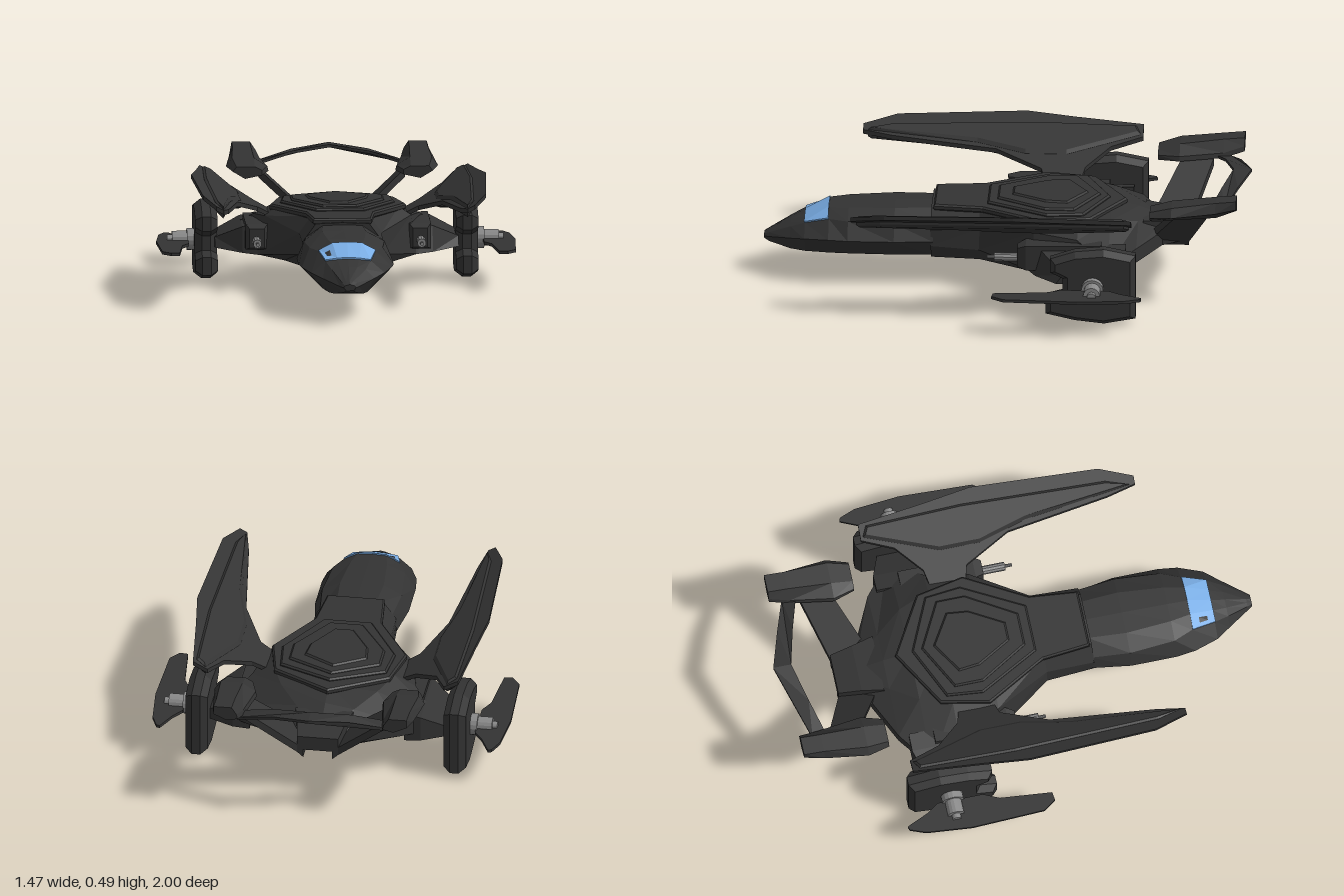
import * as THREE from 'three';

const mat = (color) => new THREE.MeshStandardMaterial({ color, flatShading: true, side: THREE.DoubleSide });
const dark = mat(0x333333), metal = mat(0x888888), glass = mat(0x7aaee6);

export function createModel() {
  const root = new THREE.Group();
  const add = (name, geo, material = dark) => {
    const m = new THREE.Mesh(geo, material);
    m.name = name;
    root.add(m);
    return m;
  };
  const bothSides = (fn) => [['left', 1], ['right', -1]].forEach(([n, s]) => fn(n, s));

  // Closed skin through rings of [x, y, z]; turned outward by its signed volume
  const loft = (rings) => {
    const n = rings[0].length, tris = [];
    const quad = (a, b, c, d) => tris.push([a, b, c], [a, c, d]);
    for (let i = 0; i + 1 < rings.length; i++)
      for (let j = 0; j < n; j++) {
        const k = (j + 1) % n;
        quad(rings[i][j], rings[i + 1][j], rings[i + 1][k], rings[i][k]);
      }
    const first = rings[0], last = rings[rings.length - 1];
    for (let j = 1; j + 1 < n; j++)
      tris.push([first[0], first[j], first[j + 1]], [last[0], last[j + 1], last[j]]);
    let volume = 0;
    const v = (p) => new THREE.Vector3(...p);
    tris.forEach(([a, b, c]) => { volume += v(a).dot(v(b).cross(v(c))); });
    if (volume < 0) tris.forEach((t) => t.reverse());
    const geo = new THREE.BufferGeometry();
    geo.setAttribute('position', new THREE.Float32BufferAttribute(tris.flat(2), 3));
    geo.computeVertexNormals();
    return geo;
  };
  // Mirrored ring at z from a half section running from bottom to top centre
  const ring = (z, half) => [
    ...half.map(([x, y]) => [x, y, z]),
    ...half.slice(1, -1).reverse().map(([x, y]) => [-x, y, z]),
  ];
  const mirrorRings = (rings, s) => rings.map((r) => r.map(([x, y, z]) => [s * x, y, z]));

  // Plate from an [x, z] outline; its height follows yAt(|x|)
  const plate = (outline, yAt, thick, s = 1, bevel = 0) => {
    const shape = new THREE.Shape(outline.map(([x, z]) => new THREE.Vector2(s * x, -z)));
    const geo = new THREE.ExtrudeGeometry(shape, {
      depth: thick - bevel, bevelEnabled: bevel > 0, bevelThickness: bevel,
      bevelSize: bevel, bevelOffset: -bevel, bevelSegments: 1,
    });
    geo.rotateX(-Math.PI / 2);
    const p = geo.attributes.position;
    for (let i = 0; i < p.count; i++) p.setY(i, p.getY(i) - thick / 2 + yAt(Math.abs(p.getX(i))));
    geo.computeVertexNormals();
    return geo;
  };

  // Cockpit: z, bottom half width, bottom, side half width, side y, shoulder x/y, roof x/y
  const nose = [
    [0.30, 0.12, 0.125, 0.17, 0.20, 0.15, 0.27, 0.08, 0.318],
    [0.46, 0.12, 0.122, 0.195, 0.205, 0.165, 0.275, 0.09, 0.315],
    [0.65, 0.11, 0.12, 0.195, 0.205, 0.15, 0.275, 0.075, 0.308],
    [0.73, 0.10, 0.118, 0.185, 0.205, 0.117, 0.272, 0.06, 0.302],
    [0.83, 0.08, 0.116, 0.15, 0.195, 0.093, 0.245, 0.045, 0.252],
    [0.89, 0.06, 0.118, 0.105, 0.18, 0.07, 0.218, 0.035, 0.226],
    [0.98, 0.025, 0.135, 0.04, 0.16, 0.03, 0.175, 0.015, 0.18],
    [1.00, 0.015, 0.145, 0.025, 0.157, 0.02, 0.165, 0.01, 0.168],
  ];
  add('cockpitHull', loft(nose.map(([z, bw, b, w, m, sx, sy, tx, ty]) =>
    ring(z, [[0, b], [bw, b], [w, m], [sx, sy], [tx, ty], [0, ty + 0.003]]))));
  // Windscreen lies just above the skin
  const screen = [3, 4].map((i) => {
    const [z, , , , , sx, sy, tx, ty] = nose[i];
    return [[-sx, sy], [-tx, ty], [0, ty + 0.003], [tx, ty], [sx, sy]]
      .flatMap(([x, y]) => [[x, y + 0.005, z + 0.003]])
      .concat([[sx, sy - 0.004, z], [0, ty - 0.006, z], [-sx, sy - 0.004, z]]);
  });
  add('windscreen', loft(screen), glass);

  // Main hull: z, then half section corners
  const hull = [
    [0.31, [0, 0.12], [0.13, 0.12], [0.165, 0.18], [0.165, 0.25], [0.11, 0.325], [0, 0.33]],
    [0.11, [0, 0.117], [0.14, 0.117], [0.175, 0.17], [0.17, 0.26], [0.12, 0.33], [0, 0.335]],
    [-0.12, [0, 0.115], [0.22, 0.115], [0.33, 0.14], [0.30, 0.30], [0.25, 0.335], [0, 0.34]],
    [-0.30, [0, 0.115], [0.22, 0.115], [0.36, 0.15], [0.34, 0.285], [0.25, 0.33], [0, 0.34]],
    [-0.43, [0, 0.12], [0.20, 0.12], [0.45, 0.165], [0.45, 0.21], [0.20, 0.32], [0, 0.335]],
    [-0.54, [0, 0.14], [0.12, 0.145], [0.31, 0.18], [0.31, 0.24], [0.12, 0.29], [0, 0.31]],
    [-0.65, [0, 0.16], [0.03, 0.16], [0.08, 0.18], [0.08, 0.24], [0.03, 0.265], [0, 0.27]],
  ];
  add('mainHull', loft(hull.map(([z, ...half]) => ring(z, half))));

  // Stacked armour plates on the back
  const armour = [
    [0.335, [[0, -0.49], [0.24, -0.35], [0.28, -0.15], [0.14, 0.1], [0.12, 0.3]]],
    [0.346, [[0, -0.42], [0.22, -0.32], [0.235, -0.17], [0.10, 0.08]]],
    [0.355, [[0, -0.38], [0.19, -0.28], [0.19, -0.16], [0.07, 0.04]]],
    [0.362, [[0, -0.33], [0.13, -0.25], [0.12, -0.16], [0.04, -0.02]]],
  ];
  armour.forEach(([y, half], i) => {
    const outline = [...half, ...half.slice(1).reverse().map(([x, z]) => [-x, z])];
    add('armourPlate' + (i + 1), plate(outline, () => y, 0.02, 1, 0.007));
  });

  // Tail block
  add('tailBlock', loft([[-0.56, 0.12, 0.17, 0.29], [-0.65, 0.10, 0.18, 0.28], [-0.745, 0.085, 0.2, 0.26]]
    .map(([z, w, b, t]) => ring(z, [[0, b], [w, b], [w, t], [0, t]]))));

  const wingY = (x) => 0.312 + 0.53 * (x - 0.3);
  const wing = [[0.50, 0.62], [0.53, 0.62], [0.58, 0.48], [0.605, -0.05], [0.58, -0.25], [0.55, -0.53],
    [0.49, -0.53], [0.44, -0.4], [0.34, -0.3], [0.26, -0.28], [0.26, -0.14], [0.33, -0.12],
    [0.42, 0.07], [0.475, 0.5]];
  const spine = [[0.50, 0.6], [0.53, 0.5], [0.55, -0.1], [0.54, -0.5], [0.50, -0.52], [0.40, -0.22],
    [0.40, -0.05], [0.45, 0.15]];
  const blade = [[0.68, -0.58], [0.64, -0.49], [0.605, -0.44], [0.605, -0.25], [0.635, -0.185],
    [0.655, 0.03], [0.69, 0.035], [0.725, -0.015], [0.737, -0.32], [0.72, -0.51], [0.695, -0.575]];
  // Engine pod side profile as [-z, y], notched at the front
  const pod = [[0.18, 0.045], [0.30, 0.018], [0.42, 0.005], [0.55, 0.03], [0.55, 0.305], [0.42, 0.33],
    [0.30, 0.318], [0.20, 0.285], [0.20, 0.225], [0.25, 0.20], [0.25, 0.14], [0.18, 0.12]];
  const arch = [[0, -1], [0.16, -0.95], [0.31, -0.9], [0.31, -0.84], [0.16, -0.885], [0, -0.925]];
  const archY = (x) => (x < 0.165 ? 0.474 - 0.13 * x : 0.453 - 0.28 * (x - 0.16));
  const strut = [[0.06, -0.58], [0.06, -0.745], [0.085, -0.745], [0.30, -0.83], [0.30, -0.7], [0.12, -0.6]];

  bothSides((n, s) => {
    // Raised wing and its thicker spine
    add(n + 'Wing', plate(wing, wingY, 0.018, s));
    add(n + 'WingSpine', plate(spine, wingY, 0.04, s, 0.01));

    // Arm from hull to engine pod
    add(n + 'Arm', loft(mirrorRings([[0.32, 0.14, 0.265, -0.1, -0.5], [0.39, 0.145, 0.25, -0.13, -0.5],
      [0.50, 0.155, 0.195, -0.22, -0.46]].map(([x, b, t, f, r]) =>
      [[x, b, f], [x, t, f - 0.03], [x, t, r], [x, b, r]]), s)));

    // Gun housing and twin-step barrel
    add(n + 'GunHousing', loft(mirrorRings([[-0.055, 0.305, 0.365, 0.175, 0.255],
      [-0.09, 0.29, 0.38, 0.165, 0.27], [-0.4, 0.29, 0.38, 0.165, 0.275]].map(([z, a, c, b, t]) =>
      [[a, b, z], [c, b, z], [c, t, z], [a, t, z]]), s)));
    [[0.018, 0.1, 0.0], [0.007, 0.1, 0.03]].forEach(([r, len, z], i) => {
      const g = new THREE.CylinderGeometry(r, r, len, 10).rotateX(Math.PI / 2);
      add(n + (i ? 'GunBarrel' : 'GunBase'), g.translate(s * 0.337, 0.205, z - 0.01), metal);
    });

    // Engine pod
    const podGeo = new THREE.ExtrudeGeometry(new THREE.Shape(pod.map((p) => new THREE.Vector2(...p))), {
      depth: 0.036, bevelThickness: 0.028, bevelSize: 0.022, bevelOffset: -0.022, bevelSegments: 1,
    });
    add(n + 'EnginePod', podGeo.rotateY(Math.PI / 2).translate(s * 0.535 - 0.018, 0, 0));

    // Outrigger axle and blade
    [[0.045, 0.57, 0.61], [0.034, 0.60, 0.67], [0.018, 0.66, 0.69]].forEach(([r, a, b], i) => {
      const g = new THREE.CylinderGeometry(r, r, b - a, 16).rotateZ(Math.PI / 2);
      add(n + 'Axle' + (i + 1), g.translate(s * (a + b) / 2, 0.17, -0.375), metal);
    });
    add(n + 'OuterBlade', plate(blade, () => 0.163, 0.012, s));

    // Tail strut, tail pod and half of the rear arch
    add(n + 'TailStrut', plate(strut, (x) => 0.2 + 0.88 * (x - 0.08), 0.035, s));
    add(n + 'TailPod', loft(mirrorRings([
      [-0.60, [0.29, 0.40], [0.36, 0.385], [0.41, 0.415], [0.395, 0.435], [0.32, 0.435], [0.29, 0.42]],
      [-0.69, [0.26, 0.405], [0.35, 0.385], [0.435, 0.425], [0.41, 0.46], [0.32, 0.46], [0.265, 0.425]],
      [-0.87, [0.285, 0.415], [0.34, 0.395], [0.415, 0.44], [0.40, 0.482], [0.325, 0.482], [0.29, 0.435]],
      [-0.955, [0.30, 0.44], [0.345, 0.43], [0.40, 0.455], [0.40, 0.49], [0.325, 0.49], [0.305, 0.46]],
    ].map(([z, ...pts]) => pts.map(([x, y]) => [x, y, z])), s)));
    add(n + 'RearArch', plate(arch, archY, 0.012, s));
  });
  return root;
}
